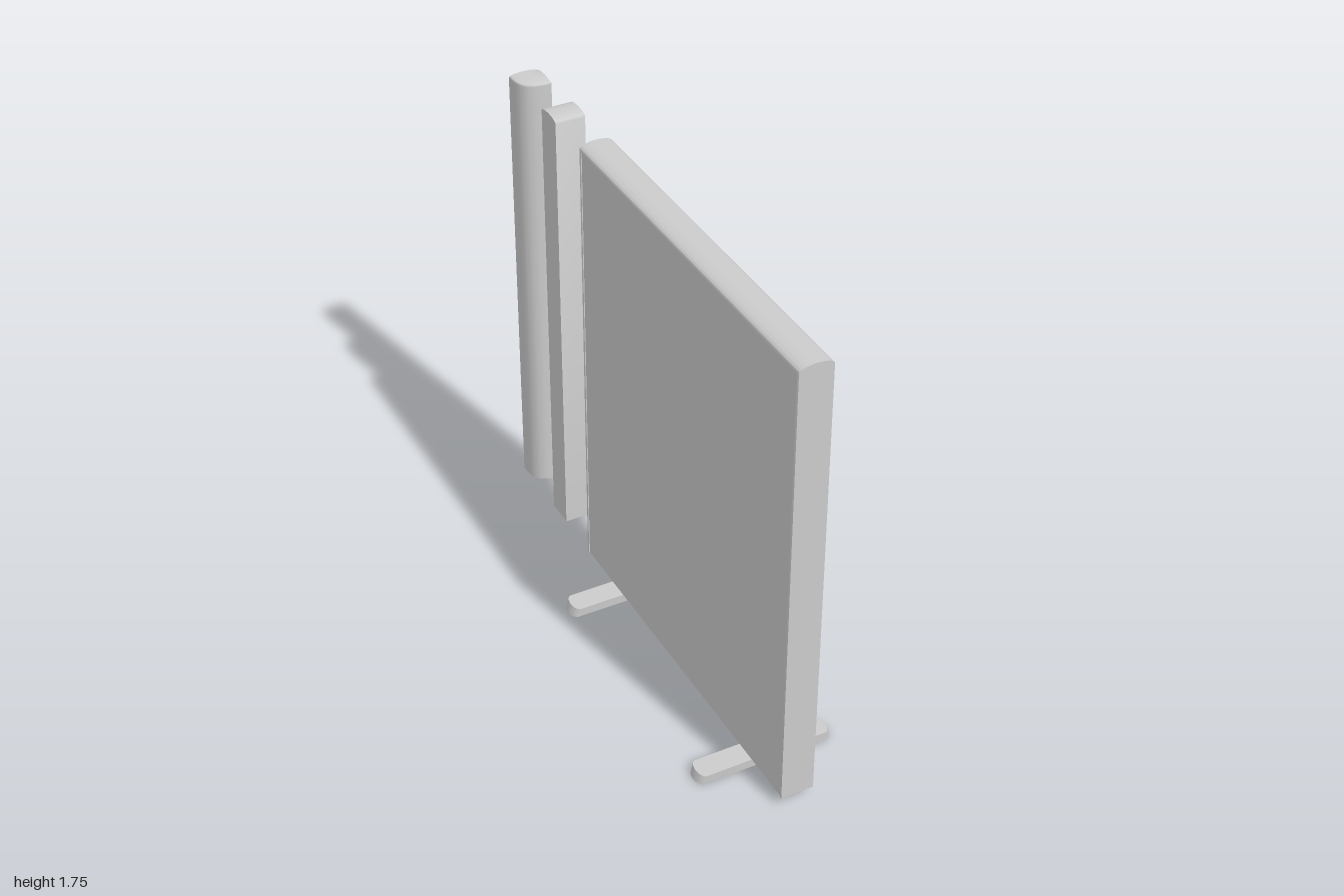
import * as THREE from 'three';
import { toCreasedNormals } from 'three/addons/utils/BufferGeometryUtils.js';
import { ParametricGeometry } from 'three/addons/geometries/ParametricGeometry.js';

const BASE = 0.035;
const material = new THREE.MeshStandardMaterial({ color: 0xcccccc });
const thin = new THREE.MeshStandardMaterial({ color: 0xcccccc, side: THREE.DoubleSide });

function part(name, geometry, mat = material) {
  const mesh = new THREE.Mesh(geometry, mat);
  mesh.name = name;
  return mesh;
}

// Upright profile with a shallow domed top
function domedShape(half, bottom, shoulder, rise) {
  const s = new THREE.Shape();
  s.moveTo(-half, bottom);
  s.lineTo(half, bottom);
  s.lineTo(half, shoulder);
  s.absellipse(0, shoulder, half, rise, 0, Math.PI, false, 0);
  s.closePath();
  return s;
}

function extrude(shape, depth, crease = 0.6) {
  const g = new THREE.ExtrudeGeometry(shape, { depth, bevelEnabled: false, curveSegments: 16 });
  return toCreasedNormals(g, crease);
}

// Screen: infill panel framed by two end posts and a domed top rail
function makeScreen() {
  const group = new THREE.Group();
  group.name = 'screen';
  const back = -0.435, front = 1, edge = 0.01;
  const full = domedShape(0.06, BASE, 1.735, 0.02);
  const length = front - back - 2 * edge;

  const infill = new THREE.BoxGeometry(0.114, 1.7, length);
  infill.translate(0, BASE + 0.85, (front + back) / 2);
  group.add(part('infillPanel', infill));

  const rail = extrude(domedShape(0.06, 1.728, 1.735, 0.02), length);
  rail.translate(0, 0, back + edge);
  group.add(part('topRail', rail));

  for (const [name, z] of [['backEdge', back], ['frontEdge', front - edge]]) {
    const post = extrude(full, edge);
    post.translate(0, 0, z);
    group.add(part(name, post));
  }
  return group;
}

// Foot: flat bar with rounded ends, spreading slightly towards the floor
function makeFoot(z) {
  const w = 0.0425, end = 0.225, bulge = 0.022;
  const s = new THREE.Shape();
  s.moveTo(-end, -w);
  s.lineTo(end, -w);
  s.absellipse(end, 0, bulge, w, -Math.PI / 2, Math.PI / 2, false, 0);
  s.lineTo(-end, w);
  s.absellipse(-end, 0, bulge, w, Math.PI / 2, Math.PI * 1.5, false, 0);
  const g = new THREE.ExtrudeGeometry(s, { depth: BASE, bevelEnabled: false, curveSegments: 12 });
  g.rotateX(-Math.PI / 2);
  const p = g.attributes.position;
  for (let i = 0; i < p.count; i++) {
    if (p.getY(i) < 0.001) {
      p.setX(i, p.getX(i) * 1.04);
      p.setZ(i, p.getZ(i) * 0.94);
    }
  }
  const foot = part('foot', toCreasedNormals(g, 0.6));
  foot.position.z = z;
  return foot;
}

// Square connector post, domed across z
function makeSquarePost() {
  const g = extrude(domedShape(0.054, BASE, 1.73, 0.014), 0.11);
  g.translate(0, 0, -0.055);
  g.rotateY(Math.PI / 2);
  const post = part('squarePost', g);
  post.position.z = -0.682;
  return post;
}

// Corner post: one rounded edge, its dome sweeping around the opposite corner
function makeCornerPost() {
  const group = new THREE.Group();
  group.name = 'cornerPost';
  const size = 0.11, shoulder = 1.725, rise = 0.012;
  const outline = (t) => {
    const a = t * Math.PI / 2;
    return [-size * Math.max(0, Math.cos(a)) ** (2 / 3), size * Math.sin(a) ** (2 / 3)];
  };

  const s = new THREE.Shape();
  s.moveTo(0, 0);
  for (let i = 0; i <= 24; i++) {
    const [x, z] = outline(i / 24);
    s.lineTo(x, -z);
  }
  const body = new THREE.ExtrudeGeometry(s, { depth: shoulder - BASE, bevelEnabled: false });
  body.rotateX(-Math.PI / 2);
  body.translate(0, BASE, 0);
  group.add(part('cornerBody', toCreasedNormals(body, 0.6)));

  const dome = new ParametricGeometry((u, v, target) => {
    const r = 0.001 + 0.999 * u;
    const [x, z] = outline(v);
    const h = rise * Math.sqrt(Math.max(0, 1 - (2 * u - 1) ** 2));
    target.set(x * r, shoulder + h, z * r);
  }, 20, 24);
  group.add(part('cornerDome', dome, thin));

  // Small arched end faces below the dome
  const arch = new THREE.Shape();
  arch.absellipse(0, 0, size / 2, rise, 0, Math.PI, false, 0);
  const backArch = part('backArch', new THREE.ShapeGeometry(arch), thin);
  backArch.position.set(-size / 2, shoulder, 0);
  const sideArch = part('sideArch', new THREE.ShapeGeometry(arch), thin);
  sideArch.rotation.y = Math.PI / 2;
  sideArch.position.set(0, shoulder, size / 2);
  group.add(backArch, sideArch);

  group.position.set(0.055, 0, -1);
  return group;
}

export function createModel() {
  const model = new THREE.Group();
  model.name = 'officeDivider';
  model.add(makeScreen(), makeSquarePost(), makeCornerPost());
  for (const z of [0.755, -0.195]) model.add(makeFoot(z));
  return model;
}
